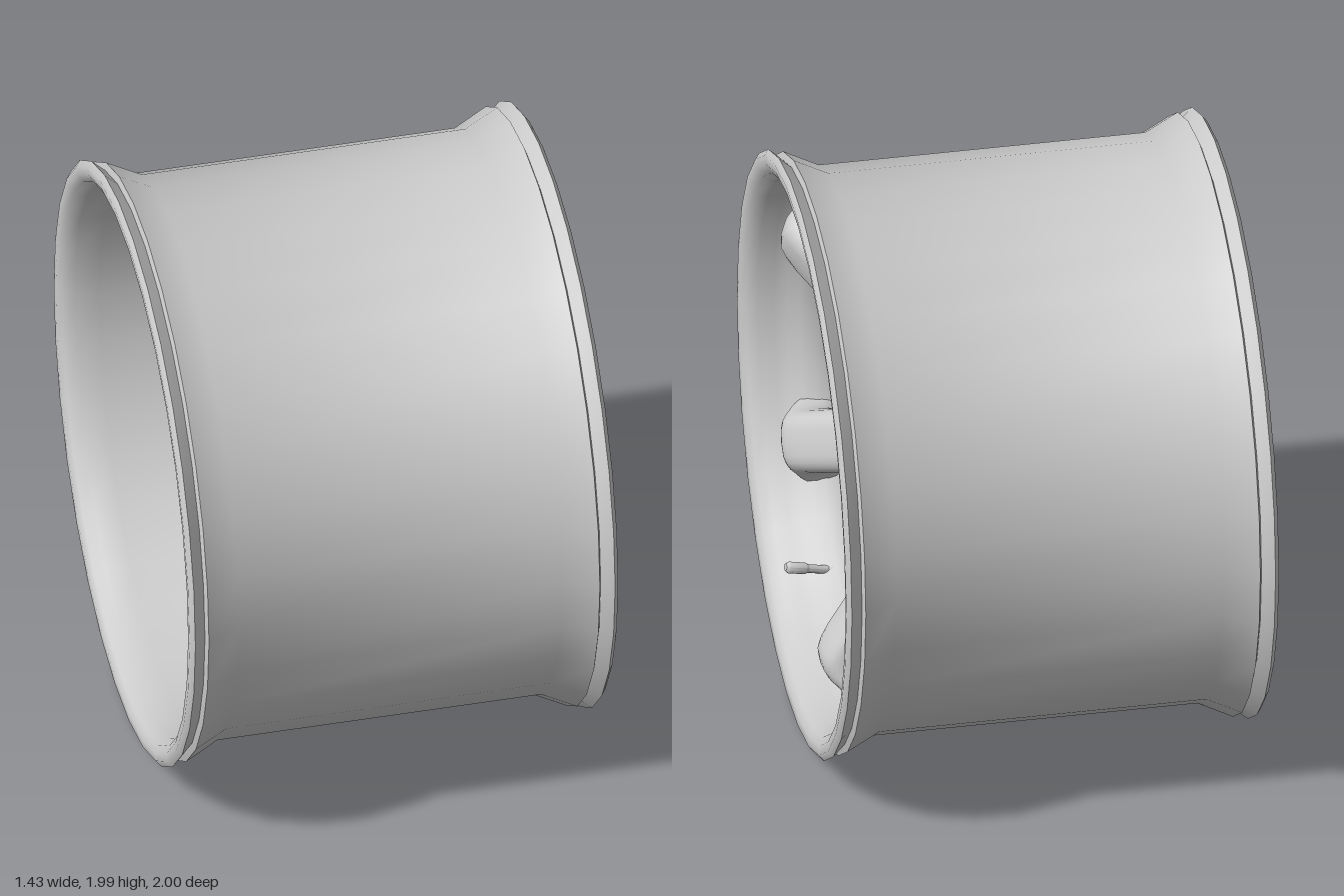
import * as THREE from 'three';
import { toCreasedNormals } from 'three/addons/utils/BufferGeometryUtils.js';

const material = new THREE.MeshStandardMaterial({ color: 0xcccccc, side: THREE.DoubleSide });
const CENTRE_Y = 0.9945;

function addMesh(parent, name, geometry) {
  const mesh = new THREE.Mesh(geometry, material);
  mesh.name = name;
  parent.add(mesh);
  return mesh;
}

// Revolve a profile of [x, radius] points about the x axis
function revolve(profile, segments, crease) {
  const points = profile.map(([x, r]) => new THREE.Vector2(r, x));
  const geometry = new THREE.LatheGeometry(points, segments);
  geometry.rotateZ(-Math.PI / 2);
  return toCreasedNormals(geometry, crease);
}

// Spoke along +y, lofted through rounded sections
// [radius, half width, extra half width at the back, back x, front x]
function spokeGeometry() {
  const stations = [
    [0.285, 0.165, 0, 0.11, 0.315], [0.315, 0.157, 0, 0.13, 0.362], [0.34, 0.135, 0.002, 0.15, 0.378],
    [0.38, 0.115, 0.004, 0.18, 0.40], [0.45, 0.108, 0.003, 0.24, 0.44], [0.58, 0.106, 0, 0.33, 0.515],
    [0.70, 0.103, 0.002, 0.40, 0.59], [0.75, 0.103, 0.006, 0.41, 0.615], [0.78, 0.104, 0.014, 0.41, 0.624],
    [0.81, 0.107, 0.035, 0.41, 0.62], [0.84, 0.114, 0.06, 0.40, 0.605], [0.865, 0.124, 0.07, 0.39, 0.58],
    [0.885, 0.13, 0.07, 0.39, 0.55],
  ];
  const sides = 24;
  const positions = [];
  const index = [];
  const power = (a, p) => Math.sign(a) * Math.pow(Math.abs(a), p);
  stations.forEach(([u, w, flare, back, front], i) => {
    for (let j = 0; j < sides; j++) {
      const t = (j / sides) * Math.PI * 2;
      const x = (back + front) / 2 + ((front - back) / 2) * power(Math.sin(t), 0.7);
      const halfWidth = w + (flare * (1 - Math.sin(t))) / 2;
      positions.push(x, u, halfWidth * power(Math.cos(t), 0.65));
      if (i === 0) continue;
      const k = (j + 1) % sides;
      const a = (i - 1) * sides + j, b = (i - 1) * sides + k;
      const c = i * sides + k, d = i * sides + j;
      index.push(a, b, c, a, c, d);
    }
  });
  const geometry = new THREE.BufferGeometry();
  geometry.setAttribute('position', new THREE.Float32BufferAttribute(positions, 3));
  // Loop runs from +z over the front, so reversing the order faces it outward
  geometry.setIndex(index.reverse());
  geometry.computeVertexNormals();
  return geometry;
}

export function createModel() {
  const model = new THREE.Group();
  model.name = 'wheel';
  const wheel = new THREE.Group();
  wheel.name = 'wheelBody';
  wheel.position.y = CENTRE_Y;
  model.add(wheel);

  // Barrel with grooved lips at both ends and a raised inner ring for the spokes
  addMesh(wheel, 'rim', revolve([
    [-0.715, 0.98], [-0.70, 1.0], [-0.66, 0.965], [-0.652, 0.988], [-0.54, 0.933],
    [0.54, 0.933], [0.652, 0.988], [0.66, 0.965], [0.70, 1.0], [0.715, 0.98],
    [0.712, 0.95], [0.695, 0.922], [0.66, 0.902], [0.61, 0.892], [0.57, 0.875], [0.53, 0.848],
    [0.49, 0.828], [0.42, 0.824], [0.38, 0.84], [0.33, 0.88], [0.25, 0.905],
    [-0.58, 0.905], [-0.66, 0.912], [-0.70, 0.93], [-0.714, 0.955], [-0.715, 0.98],
  ], 30, 0.95));

  // Dished hub with a domed centre
  addMesh(wheel, 'hub', revolve([
    [0.10, 0], [0.10, 0.30], [0.13, 0.34], [0.30, 0.352], [0.34, 0.345], [0.365, 0.325],
    [0.36, 0.302], [0.33, 0.28], [0.31, 0.258], [0.30, 0.22], [0.303, 0.145],
    [0.32, 0.125], [0.36, 0.10], [0.385, 0.06], [0.393, 0.03], [0.395, 0],
  ], 48, 1.1));

  // Six spokes
  const spoke = spokeGeometry();
  for (let i = 0; i < 6; i++) {
    addMesh(wheel, 'spoke', spoke).rotation.x = (i * Math.PI) / 3;
  }

  // Five lug nuts
  const nutGeometry = revolve([
    [0, 0.036], [0.03, 0.036], [0.045, 0.031], [0.11, 0.031], [0.12, 0.024], [0.12, 0],
  ], 12, 0.6);
  for (let i = 0; i < 5; i++) {
    const a = (i * Math.PI * 2) / 5;
    const nut = addMesh(wheel, 'lugNut', nutGeometry);
    nut.position.set(0.292, 0.235 * Math.cos(a), 0.235 * Math.sin(a));
  }

  // Valve stem, leaning toward the axle
  const valve = addMesh(wheel, 'valveStem', revolve([
    [0, 0.026], [0.05, 0.022], [0.06, 0.014], [0.13, 0.014], [0.14, 0.019], [0.20, 0.019],
    [0.21, 0.012], [0.21, 0],
  ], 12, 0.6));
  valve.position.set(0.46, -0.75, 0.438);
  valve.quaternion.setFromUnitVectors(
    new THREE.Vector3(1, 0, 0), new THREE.Vector3(0.2, 0.055, -0.03).normalize());

  return model;
}
